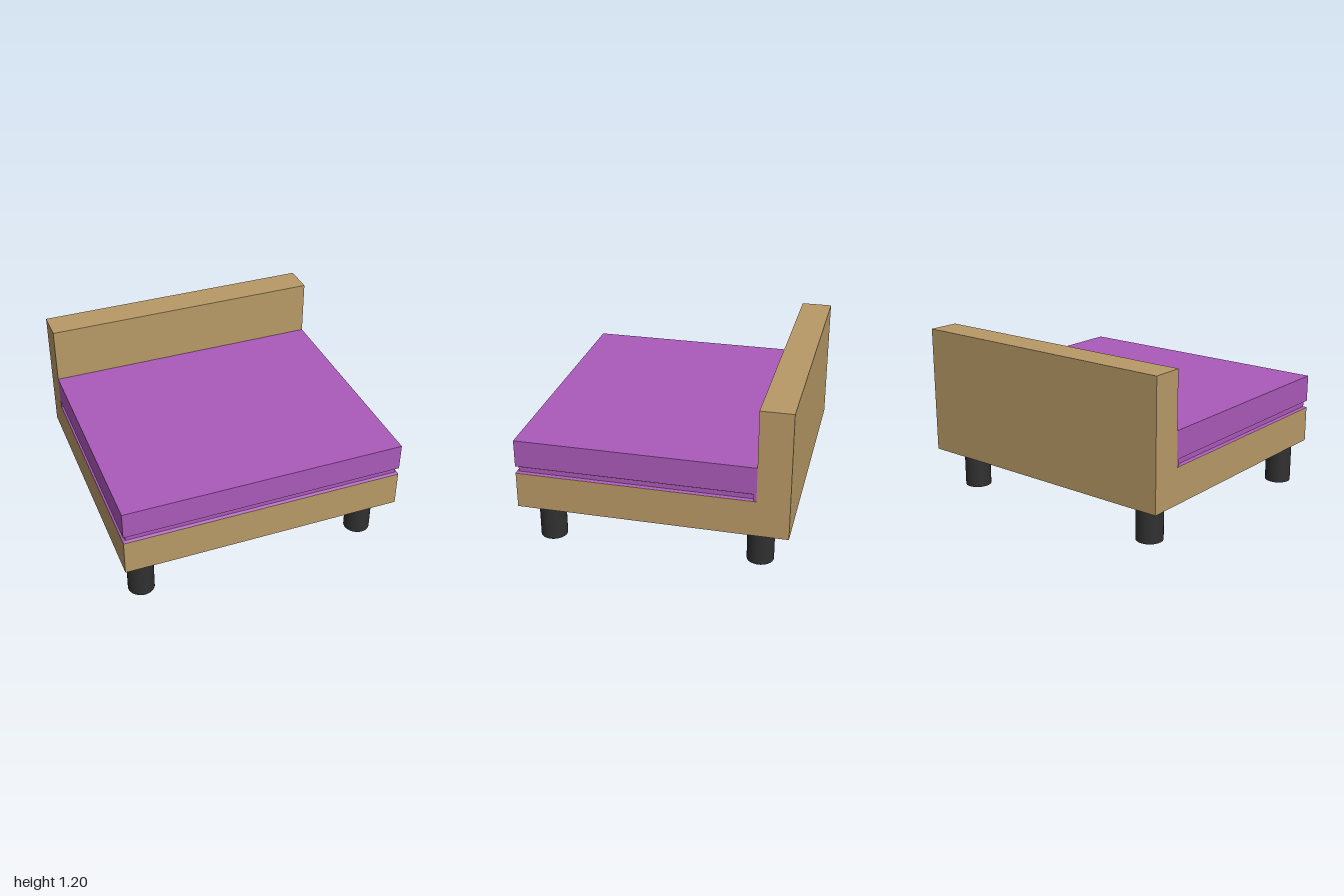
import * as THREE from 'three';

export function createModel() {
  const group = new THREE.Group();
  const wood = new THREE.MeshStandardMaterial({ color: 0xb89966 });
  const fabric = new THREE.MeshStandardMaterial({ color: 0xaa59b9, flatShading: true });
  const black = new THREE.MeshStandardMaterial({ color: 0x303030 });

  function add(name, geometry, material, x, y, z) {
    const mesh = new THREE.Mesh(geometry, material);
    mesh.name = name;
    mesh.position.set(x, y, z);
    group.add(mesh);
  }

  // Base and headboard in one L-shaped side profile, extruded across the width
  const profile = new THREE.Shape([
    [-0.93, 0.3], [0.93, 0.3], [0.93, 1.2], [0.71, 1.2], [0.71, 0.555], [-0.93, 0.555],
  ].map(([x, y]) => new THREE.Vector2(x, y)));
  const frame = new THREE.ExtrudeGeometry(profile, { depth: 2, bevelEnabled: false });
  frame.translate(0, 0, -1).rotateY(Math.PI / 2);
  add('frameWithHeadboard', frame, wood, 0, 0, 0);

  // Mattress with a shallow groove above the base on the front and sides
  const rings = [[0.557, 0], [0.565, 0.018], [0.597, 0.018], [0.608, 0], [0.8, 0]];
  const mattress = new THREE.BoxGeometry(2, 4, 1.64, 1, 4, 1);
  const p = mattress.attributes.position;
  for (let i = 0; i < p.count; i++) {
    const [y, inset] = rings[Math.round(p.getY(i) + 2)];
    const front = p.getZ(i) > 0;
    p.setXYZ(i, Math.sign(p.getX(i)) * (1 - inset), y, front ? 0.93 - inset : -0.71);
  }
  mattress.computeVertexNormals();
  add('mattress', mattress, fabric, 0, 0, 0);

  // Full-width strip closing the groove at the headboard
  add('mattressBackStrip', new THREE.BoxGeometry(1.998, 0.05, 0.02), fabric, 0, 0.583, -0.7);

  // Round legs: x, z, bottom height
  const legs = {
    frontRightLeg: [-0.86, 0.79, 0],
    frontLeftLeg: [0.81, 0.75, 0.003],
    backRightLeg: [-0.795, -0.72, 0.015],
    backLeftLeg: [0.81, -0.72, 0.015],
  };
  for (const [name, [x, z, bottom]] of Object.entries(legs)) {
    const height = 0.31 - bottom;
    add(name, new THREE.CylinderGeometry(0.093, 0.093, height, 32), black, x, bottom + height / 2, z);
  }
  return group;
}
